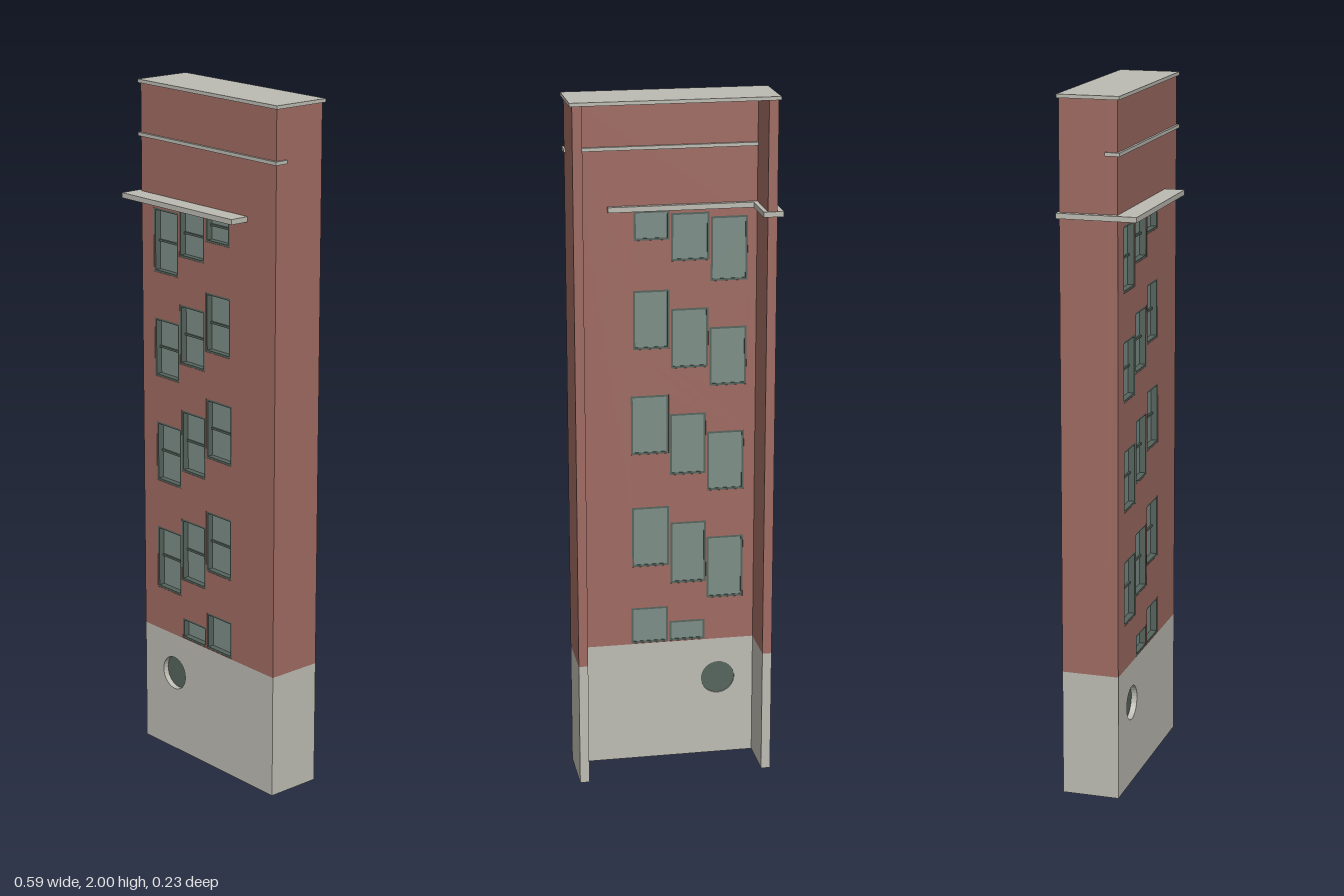
import * as THREE from 'three';

const mat = (name, color, side = THREE.FrontSide) => {
  const m = new THREE.MeshStandardMaterial({ color, side });
  m.name = name;
  return m;
};

export function createModel() {
  const brick = mat('brick', 0x9f6b62);
  const stone = mat('stone', 0xbdbcb3);
  const glass = mat('glass', 0x7c8e86);
  const dark = mat('darkFrame', 0x56645d);

  const root = new THREE.Group();
  root.name = 'facadeSegment';

  // Wall envelope: an open-backed U of three walls
  const X0 = -0.28, X1 = 0.287, ZB = -0.11, ZF = 0.055, T = 0.027, ZI = ZF - T;
  const BASE = 0.367, TOP = 1.99;

  const add = (name, geo, material, parent = root) => {
    const m = new THREE.Mesh(geo, material);
    m.name = name;
    parent.add(m);
    return m;
  };
  const box = (name, x0, x1, y0, y1, z0, z1, material, parent) => {
    const g = new THREE.BoxGeometry(x1 - x0, y1 - y0, z1 - z0);
    g.translate((x0 + x1) / 2, (y0 + y1) / 2, (z0 + z1) / 2);
    return add(name, g, material, parent);
  };
  const rect = (x0, x1, y0, y1, Kind = THREE.Shape) => {
    const s = new Kind();
    s.moveTo(x0, y0);
    s.lineTo(x1, y0);
    s.lineTo(x1, y1);
    s.lineTo(x0, y1);
    s.closePath();
    return s;
  };
  const slab = (shape, z0, z1) => {
    const g = new THREE.ExtrudeGeometry(shape, { depth: z1 - z0, bevelEnabled: false, curveSegments: 16 });
    g.translate(0, 0, z0);
    return g;
  };

  // Staggered windows: x0, x1, y0, y1, divider height (0 = none)
  const windows = [
    [-0.227, -0.121, 1.457, 1.643, 1.547], [-0.117, -0.008, 1.519, 1.657, 1.587], [-0.003, 0.098, 1.582, 1.666, 1.629],
    [-0.226, -0.119, 1.149, 1.322, 1.234], [-0.115, -0.007, 1.206, 1.381, 1.293], [-0.003, 0.101, 1.266, 1.438, 1.35],
    [-0.221, -0.113, 0.832, 1.011, 0.922], [-0.109, -0.005, 0.886, 1.070, 0.978], [-0.001, 0.109, 0.953, 1.129, 1.04],
    [-0.221, -0.113, 0.498, 0.689, 0.596], [-0.111, -0.006, 0.551, 0.740, 0.644], [-0.002, 0.107, 0.609, 0.792, 0.7],
    [-0.108, -0.003, 0.369, 0.432, 0], [0.001, 0.110, 0.369, 0.480, 0],
  ];

  // Brick front wall pierced by the windows
  const front = rect(X0, X1, BASE, TOP);
  for (const [x0, x1, y0, y1] of windows) front.holes.push(rect(x0, x1, y0, y1, THREE.Path));
  add('brickFrontWall', slab(front, ZI, ZF), brick);

  // Stone base with a round opening
  const CX = -0.148, CY = 0.243, R = 0.05;
  const base = rect(X0, X1, 0, BASE);
  const hole = new THREE.Path();
  hole.absarc(CX, CY, R, 0, Math.PI * 2, true);
  base.holes.push(hole);
  add('stoneBaseFront', slab(base, ZI, ZF), stone);

  // Side walls
  for (const [side, x0] of [['right', X0], ['left', X1 - T]]) {
    box(side + 'BrickWall', x0, x0 + T, BASE, TOP, ZB, ZI, brick);
    box(side + 'StoneBase', x0, x0 + T, 0, BASE, ZB, ZI, stone);
  }

  // Window frames, panes and dividers
  const B = 0.006;
  windows.forEach(([x0, x1, y0, y1, bar], i) => {
    const w = new THREE.Group();
    w.name = 'window' + (i + 1);
    root.add(w);
    const ring = rect(x0, x1, y0, y1);
    ring.holes.push(rect(x0 + B, x1 - B, y0 + B, y1 - B, THREE.Path));
    add('frame', slab(ring, ZI + 0.001, ZF - 0.001), dark, w);
    box('pane', x0 + B, x1 - B, y0 + B, y1 - B, ZI + 0.003, ZI + 0.008, glass, w);
    if (bar) box('divider', x0 + B, x1 - B, bar - 0.003, bar + 0.003, ZI + 0.008, ZI + 0.013, dark, w);
  });

  // Round window
  const disc = new THREE.CylinderGeometry(R, R, 0.006, 32);
  disc.rotateX(Math.PI / 2);
  disc.translate(CX, CY, ZI + 0.007);
  add('roundPane', disc, dark);

  // Roof slab, thin string course and wrapped ledge
  box('roofSlab', -0.286, 0.295, TOP, 2, -0.115, 0.061, stone);
  box('stringCourse', -0.286, 0.293, 1.84, 1.85, 0.02, 0.062, stone);
  const L = [[-0.297, -0.115], [-0.24, -0.115], [-0.24, 0.015], [0.172, 0.015], [0.172, 0.113], [-0.297, 0.113]];
  const ledge = new THREE.ExtrudeGeometry(
    new THREE.Shape(L.map(([x, z]) => new THREE.Vector2(x, -z))), { depth: 0.015, bevelEnabled: false });
  ledge.rotateX(-Math.PI / 2);
  ledge.translate(0, 1.667, 0);
  add('wrappedLedge', ledge, stone);

  return root;
}
